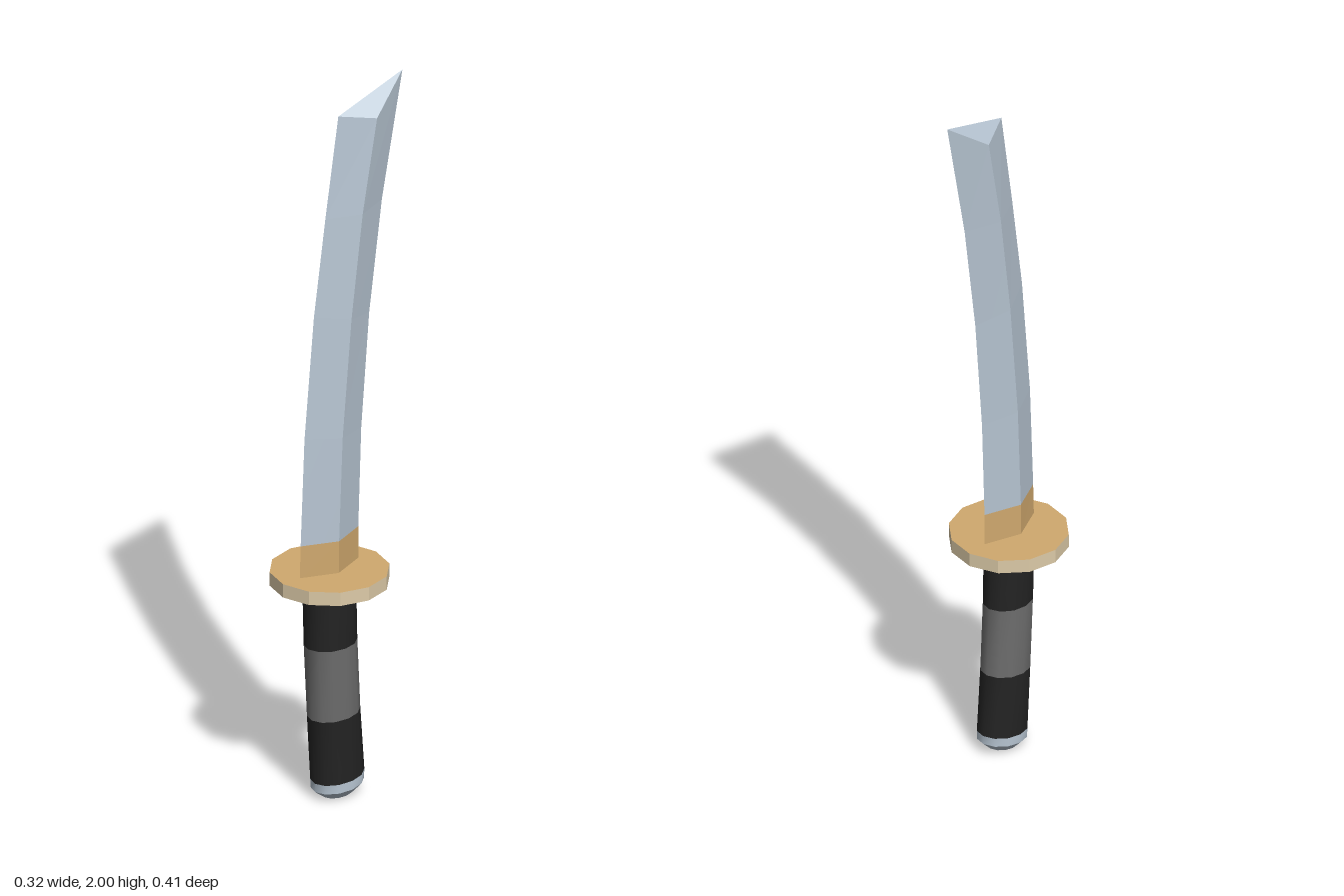
import * as THREE from 'three';
import { toCreasedNormals } from 'three/addons/utils/BufferGeometryUtils.js';

const mat = (name, color) => {
  const m = new THREE.MeshStandardMaterial({ color });
  m.name = name;
  return m;
};

// Joins rings of [x, y, z] points (anticlockwise from above, bottom to top) and caps both ends.
function loft(rings, crease) {
  const n = rings[0].length, index = [];
  for (let r = 0; r < rings.length - 1; r++) {
    for (let i = 0; i < n; i++) {
      const a = r * n + i, b = r * n + (i + 1) % n;
      index.push(a, b, b + n, a, b + n, a + n);
    }
  }
  const top = (rings.length - 1) * n;
  for (let i = 1; i < n - 1; i++) index.push(0, i + 1, i, top, top + i, top + i + 1);
  const g = new THREE.BufferGeometry();
  g.setAttribute('position', new THREE.Float32BufferAttribute(rings.flat(2), 3));
  g.setIndex(index);
  return toCreasedNormals(g, crease);
}

// Diamond section: front edge, side ridges, back edge, each given as [z, y].
const diamond = ([fz, fy], [mz, my], [bz, by]) =>
  [[0, fy, fz], [0.04, my, mz], [0, by, bz], [-0.04, my, mz]];

// Oval section spanning two [z, y] points, so the ring can tilt with the curved grip.
function oval([fz, fy], [bz, by], rx = 0.061, sides = 12) {
  return Array.from({ length: sides }, (_, i) => {
    const a = (i / sides) * Math.PI * 2, t = (1 - Math.cos(a)) / 2;
    return [rx * Math.sin(a), fy + (by - fy) * t, fz + (bz - fz) * t];
  });
}

export function createModel() {
  const steel = mat('steel', 0xb7c5d2);
  const gold = mat('gold', 0xd0a96e);
  const paleGold = mat('pale gold', 0xddcba8);
  const black = mat('black wrap', 0x232323);
  const grey = mat('grey wrap', 0x6c6c6c);

  const sword = new THREE.Group();
  sword.name = 'sword';
  const add = (name, geometry, material) => {
    const mesh = new THREE.Mesh(geometry, material);
    mesh.name = name;
    sword.add(mesh);
    return mesh;
  };

  // Curved blade with a slanted tip
  const collarTop = diamond([0.143, 0.74], [0.046, 0.74], [-0.053, 0.74]);
  add('blade', loft([
    collarTop,
    diamond([0.13, 1.04], [0.034, 1.03], [-0.063, 1.02]),
    diamond([0.098, 1.38], [0.004, 1.36], [-0.09, 1.34]),
    diamond([0.059, 1.65], [-0.034, 1.65], [-0.133, 1.65]),
    diamond([0.015, 1.93], [-0.083, 1.91], [-0.203, 2.0]),
  ], 0.01), steel);

  // Gold collar at the foot of the blade
  add('bladeCollar', loft([
    diamond([0.146, 0.64], [0.047, 0.64], [-0.053, 0.64]),
    collarTop,
  ], 0.01), gold);

  // Twelve-sided guard with a paler rim
  const guard = new THREE.CylinderGeometry(0.158, 0.158, 0.038, 12);
  const guardMesh = add('guard', toCreasedNormals(guard, 0.1), [paleGold, gold, gold]);
  guardMesh.position.set(0, 0.631, 0.045);

  // Grip bands, following the bend of the handle
  const seams = [
    oval([0.095, 0.048], [-0.058, 0.062]),
    oval([0.106, 0.232], [-0.044, 0.242]),
    oval([0.117, 0.438], [-0.034, 0.441]),
    oval([0.122, 0.615], [-0.03, 0.615]),
  ];
  [['lowerGrip', black], ['middleGrip', grey], ['upperGrip', black]].forEach(([name, m], i) =>
    add(name, loft([seams[i], seams[i + 1]], 0.7), m));

  // Chamfered pommel
  add('pommel', loft([
    oval([0.062, 0.0], [-0.028, 0.009], 0.037),
    oval([0.093, 0.023], [-0.057, 0.037]),
    seams[0],
  ], 0.65), steel);

  return sword;
}
